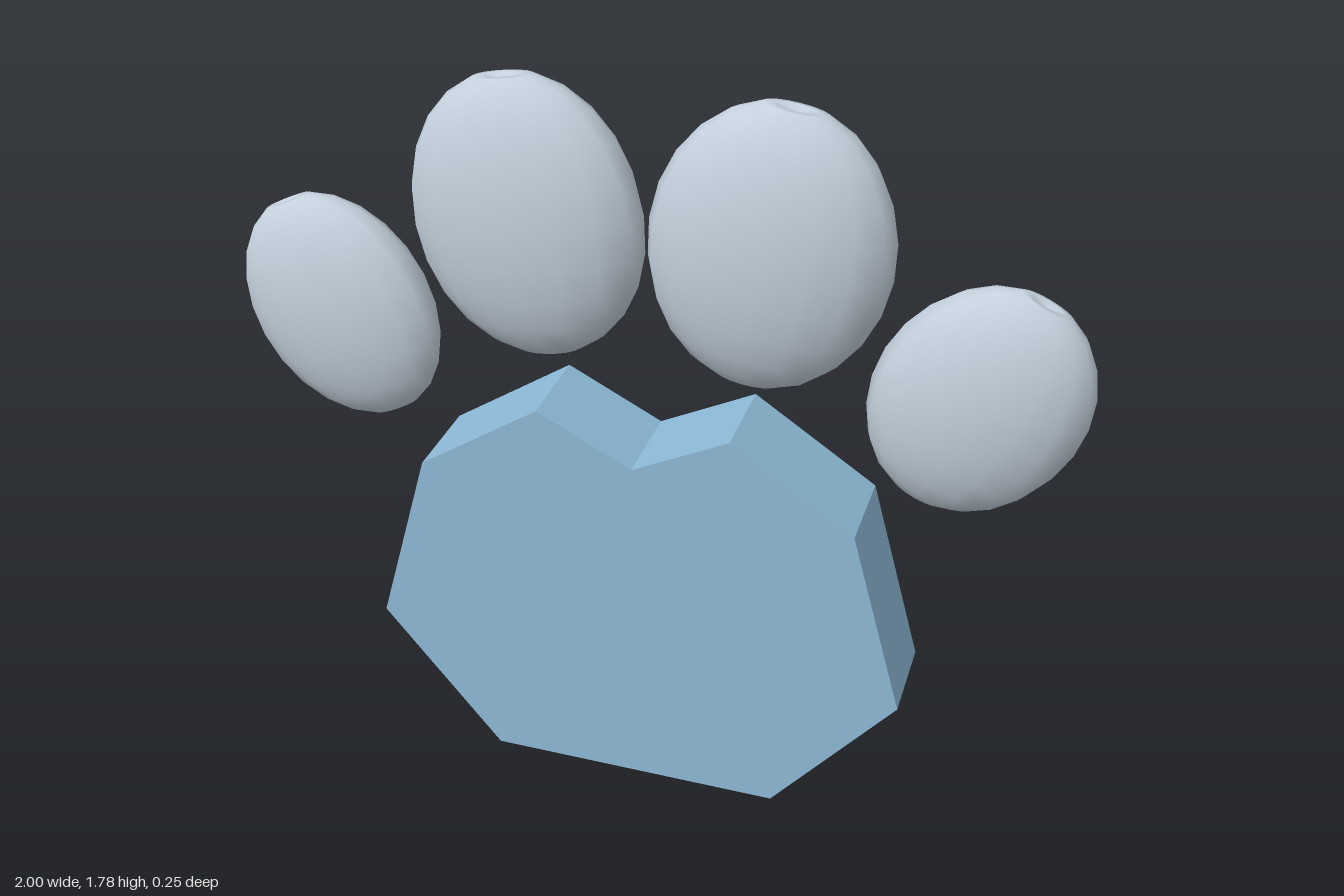
import * as THREE from 'three';

const padBlue = new THREE.MeshStandardMaterial({ color: 0x8dbad7 });
padBlue.name = 'padBlue';
padBlue.side = THREE.DoubleSide;
const toeGrey = new THREE.MeshStandardMaterial({ color: 0xc3d0dc });
toeGrey.name = 'toeGrey';

const HALF_DEPTH = 0.115;

const shapeFrom = (points) => new THREE.Shape(points.map(([x, y]) => new THREE.Vector2(x, y)));

// Unit ball turned from a profile, with a small dimple at its upper pole
function dimpledBall() {
  const rings = 12;
  const profile = [];
  for (let i = 0; i < rings; i++) {
    const a = (i / rings) * Math.PI;
    profile.push(new THREE.Vector2(Math.sin(a), -Math.cos(a)));
  }
  profile.push(new THREE.Vector2(0.16, 0.97), new THREE.Vector2(0, 0.93));
  return new THREE.LatheGeometry(profile, 16);
}

// Flattened toe bean leaning outward
function toe(name, side, [x, y], [rx, ry, rz], lean) {
  const mesh = new THREE.Mesh(dimpledBall().scale(rx, ry, rz), toeGrey);
  mesh.name = name;
  mesh.position.set(side * x, y, 0);
  mesh.rotation.z = -side * THREE.MathUtils.degToRad(lean);
  return mesh;
}

export function createModel() {
  const group = new THREE.Group();
  group.name = 'paw';

  // Main pad: faceted slab, notched at top and bottom
  const rightHalf = [[0, 0.097], [0.36, 0], [0.655, 0.36], [0.525, 0.82], [0.23, 1.015], [0, 0.9]];
  const leftHalf = rightHalf.slice(1, -1).reverse().map(([x, y]) => [-x, y]);
  const padGeometry = new THREE.ExtrudeGeometry(shapeFrom([...rightHalf, ...leftHalf]), {
    depth: HALF_DEPTH * 2,
    bevelEnabled: false,
  });
  padGeometry.translate(0, 0, -HALF_DEPTH);
  const pad = new THREE.Mesh(padGeometry, padBlue);
  pad.name = 'mainPad';
  group.add(pad);

  // The front face runs straight across the bottom notch
  const web = new THREE.Mesh(
    new THREE.ShapeGeometry(shapeFrom([[-0.36, 0], [0.36, 0], [0, 0.097]])), padBlue);
  web.name = 'frontNotchCover';
  web.position.z = HALF_DEPTH;
  group.add(web);

  // Toes, mirrored in pairs
  for (const [side, label] of [[1, 'left'], [-1, 'right']]) {
    group.add(toe(label + 'InnerToe', side, [0.278, 1.445], [0.275, 0.339, 0.123], 8));
    group.add(toe(label + 'OuterToe', side, [0.755, 1.15], [0.235, 0.29, 0.105], 25));
  }
  return group;
}
